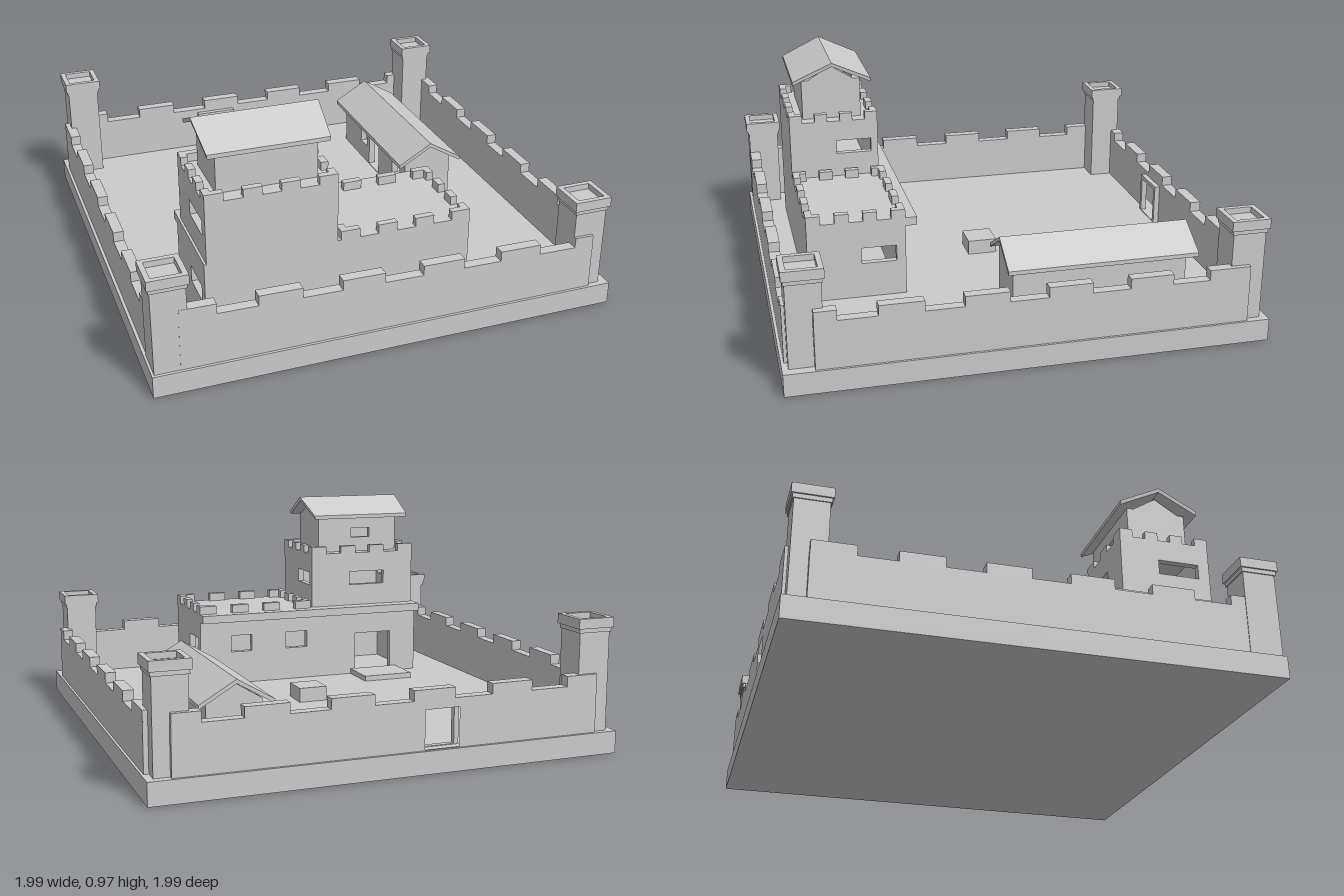
import * as THREE from 'three';

const GROUND = 0.095;
const mat = new THREE.MeshStandardMaterial({ color: 0xcccccc, flatShading: true });

export function createModel() {
  const root = new THREE.Group();

  const add = (name, geo) => {
    const m = new THREE.Mesh(geo, mat);
    m.name = name;
    root.add(m);
    return m;
  };

  // Box from its minimum and maximum corners
  const box = (name, x0, x1, y0, y1, z0, z1) => {
    const m = add(name, new THREE.BoxGeometry(x1 - x0, y1 - y0, z1 - z0));
    m.position.set((x0 + x1) / 2, (y0 + y1) / 2, (z0 + z1) / 2);
    return m;
  };

  // Upright slab with rectangular openings [u0, u1, v0, v1];
  // it lies along x from z = at, or along z ending at x = at
  const slab = (name, pts, holes, depth, at, alongZ) => {
    const shape = new THREE.Shape(pts.map(p => new THREE.Vector2(p[0], p[1])));
    for (const [a, b, c, d] of holes) {
      shape.holes.push(new THREE.Path([[a, c], [a, d], [b, d], [b, c]].map(p => new THREE.Vector2(...p))));
    }
    const geo = new THREE.ExtrudeGeometry(shape, { depth, bevelEnabled: false });
    if (alongZ) geo.rotateY(-Math.PI / 2).translate(at, 0, 0);
    else geo.translate(0, 0, at);
    return add(name, geo);
  };

  // Outline of a wall whose top is cut by merlons; the top may slope
  const battlement = (u0, u1, top0, top1, first, period = 0.345, width = 0.18, rise = 0.043) => {
    const topAt = u => top0 + (top1 - top0) * (u - u0) / (u1 - u0);
    const pts = [[u1, GROUND], [u0, GROUND], [u0, topAt(u0)]];
    for (let s = first; s < u1; s += period) {
      const a = Math.max(s, u0 + 0.001), b = Math.min(s + width, u1 - 0.001);
      if (b - a < 0.02) continue;
      pts.push([a, topAt(a)], [a, topAt(a) + rise], [b, topAt(b) + rise], [b, topAt(b)]);
    }
    pts.push([u1, topAt(u1)]);
    return pts;
  };

  // Hollow room of four walls; an optional apex raises gables on one pair
  const room = (name, x0, x1, z0, z1, y0, y1, { front = [], back = [], left = [], right = [], apex = 0, gableOnX = false }) => {
    const t = 0.03;
    const outline = (a, b, gable) => gable
      ? [[a, y0], [b, y0], [b, y1], [(a + b) / 2, apex], [a, y1]]
      : [[a, y0], [b, y0], [b, y1], [a, y1]];
    const gz = apex && !gableOnX, gx = apex && gableOnX;
    slab(name + 'FrontWall', outline(x0, x1, gz), front, t, z1 - t, false);
    slab(name + 'BackWall', outline(x0, x1, gz), back, t, z0, false);
    slab(name + 'LeftWall', outline(z0 + t, z1 - t, gx), left, t, x1, true);
    slab(name + 'RightWall', outline(z0 + t, z1 - t, gx), right, t, x0 + t, true);
  };

  // Ring of merlons, four to a side, on the edge of a flat roof
  const parapet = (name, x0, x1, z0, z1, y0, y1) => {
    const t = 0.03, n = 7, dx = (x1 - x0) / n, dz = (z1 - z0) / n;
    for (let i = 0; i < n; i += 2) {
      for (const z of [z0, z1 - t]) box(name, x0 + i * dx, x0 + (i + 1) * dx, y0, y1, z, z + t);
      const a = z0 + i * dz + (i === 0 ? t : 0), b = z0 + (i + 1) * dz - (i === n - 1 ? t : 0);
      for (const x of [x0, x1 - t]) box(name, x, x + t, y0, y1, a, b);
    }
  };

  // Folded roof sheet profile
  const chevron = (c, half, eave, ridge, t) => [
    [c - half, eave], [c, ridge - t], [c + half, eave],
    [c + half, eave + t], [c, ridge], [c - half, eave + t]];

  // Base
  box('base', -0.995, 0.995, 0, GROUND, -0.995, 0.995);

  // Curtain walls, with a gate in the back one
  const gate = [-0.27, -0.12, GROUND + 0.003, 0.26];
  slab('frontCurtainWall', battlement(-0.88, 0.9, 0.318, 0.295, -0.91), [], 0.048, 0.935, false);
  slab('backCurtainWall', battlement(-0.9, 0.9, 0.3, 0.295, -0.94), [gate], 0.048, -0.983, false);
  slab('leftCurtainWall', battlement(-0.9, 0.87, 0.295, 0.295, -0.905, 0.337), [], 0.045, 0.985, true);
  slab('rightCurtainWall', battlement(-0.9, 0.87, 0.295, 0.3, -0.905, 0.337), [], 0.045, -0.937, true);
  slab('gateFrame', [[-0.29, GROUND], [-0.1, GROUND], [-0.1, 0.28], [-0.29, 0.28]], [gate], 0.025, -0.936, false);

  // Corner towers: shaft, corbel and hollow cap
  for (const [x, z, top] of [[-0.915, 0.912, 0.515], [0.885, 0.9, 0.505], [-0.89, -0.9, 0.575], [0.895, -0.893, 0.535]]) {
    const h = 0.07, c = 0.082, r = 0.06;
    box('towerShaft', x - h, x + h, GROUND, top - 0.05, z - h, z + h);
    box('towerCorbel', x - 0.075, x + 0.075, top - 0.06, top - 0.04, z - 0.075, z + 0.075);
    box('towerPlatform', x - r, x + r, top - 0.04, top - 0.025, z - r, z + r);
    const rim = slab('towerCap', [[-c, -c], [c, -c], [c, c], [-c, c]], [[-r, r, -r, r]], 0.042, 0, false);
    rim.rotation.x = -Math.PI / 2;
    rim.position.set(x, top - 0.042, z);
  }

  // Hall: long lower storey with ledge and battlements
  room('hall', -0.735, 0.395, 0.41, 0.83, GROUND, 0.43, {
    back: [[0.135, 0.24, 0.25, 0.33], [-0.15, -0.04, 0.25, 0.33], [-0.6, -0.41, GROUND + 0.003, 0.3]],
    left: [[0.45, 0.6, 0.25, 0.32]],
    right: [[0.62, 0.78, 0.25, 0.32]],
  });
  box('hallRoof', -0.735, 0.395, 0.425, 0.442, 0.41, 0.83);
  box('hallLedge', -0.735, 0.395, 0.405, 0.442, 0.36, 0.411);
  parapet('hallMerlon', -0.17, 0.395, 0.41, 0.83, 0.442, 0.48);
  box('doorStep', -0.63, -0.385, GROUND, 0.12, 0.22, 0.41);

  // Keep: square storey above the hall
  room('keep', -0.725, -0.185, 0.43, 0.83, 0.44, 0.7, {
    back: [[-0.57, -0.385, 0.545, 0.61]],
    left: [[0.462, 0.62, 0.55, 0.612]],
    right: [[0.6, 0.78, 0.545, 0.61]],
  });
  box('keepRoof', -0.725, -0.185, 0.69, 0.705, 0.43, 0.83);
  parapet('keepMerlon', -0.725, -0.185, 0.43, 0.83, 0.705, 0.74);

  // Lookout house with a gabled roof, its ends leaning outward at the ridge
  room('lookout', -0.66, -0.245, 0.497, 0.763, 0.7, 0.885, {
    back: [[-0.52, -0.42, 0.775, 0.82]], apex: 0.95, gableOnX: true,
  });
  const lookoutRoof = slab('lookoutRoof', chevron(0.628, 0.177, 0.874, 0.974, 0.018), [], 0.52, -0.195, true);
  const p = lookoutRoof.geometry.attributes.position;
  for (let i = 0; i < p.count; i++) {
    const lean = 1 - 0.6 * (0.974 - p.getY(i));
    p.setX(i, -0.455 + (p.getX(i) + 0.455) * lean);
  }
  lookoutRoof.geometry.computeVertexNormals();

  // Stable: long low house with a gabled roof
  room('stable', 0.47, 0.7, -0.74, 0.02, GROUND, 0.305, {
    right: [[-0.53, -0.45, 0.18, 0.24], [-0.42, -0.3, GROUND + 0.003, 0.24], [-0.13, -0.04, 0.18, 0.24]],
    apex: 0.375,
  });
  slab('stableRoof', chevron(0.585, 0.155, 0.288, 0.397, 0.018), [], 0.83, -0.78, false);

  // Block in the yard
  box('yardWell', -0.065, 0.065, GROUND, 0.16, -0.07, 0.06);

  return root;
}
